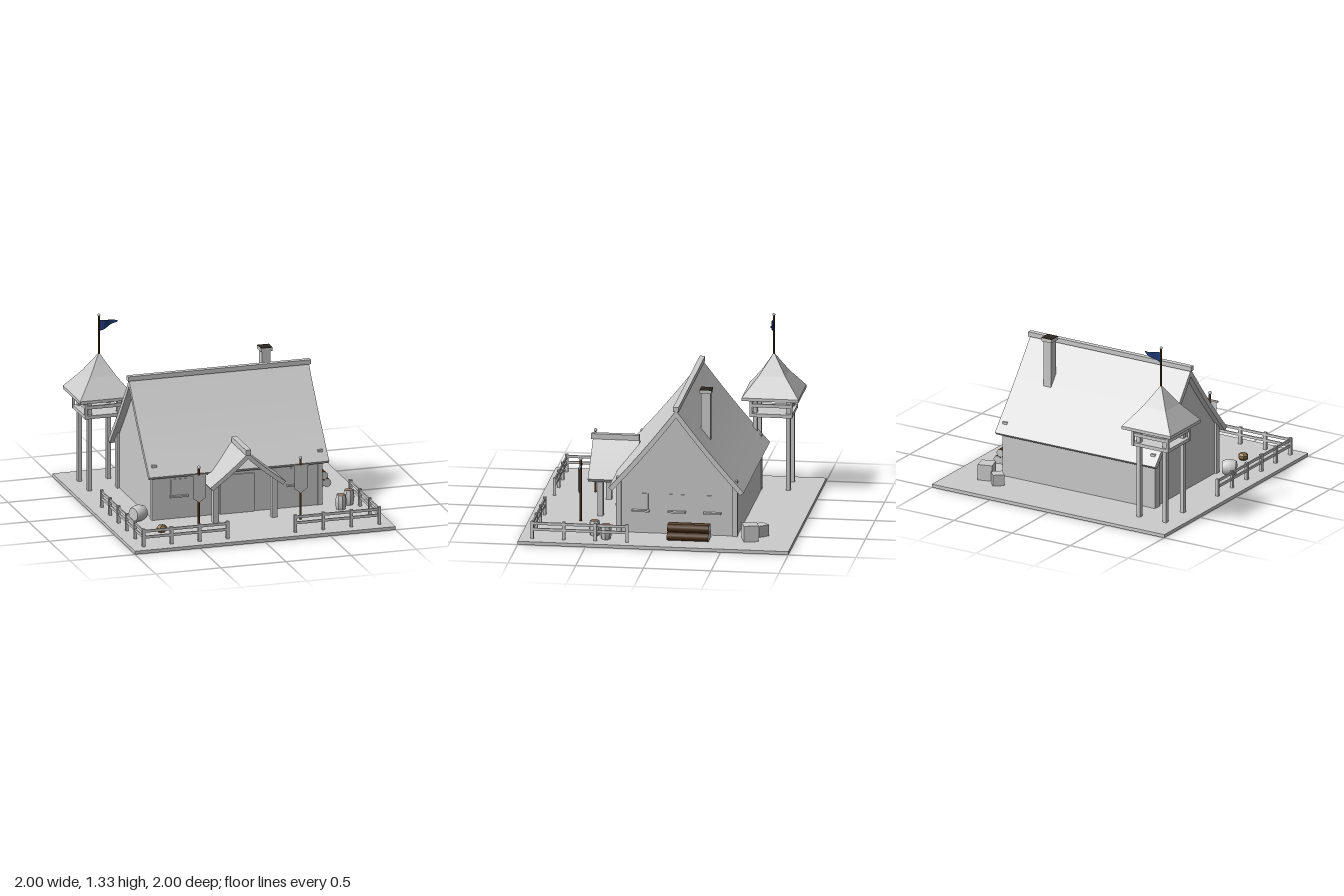
import * as THREE from 'three';
import { toCreasedNormals } from 'three/addons/utils/BufferGeometryUtils.js';

const mat = (color, extra = {}) => new THREE.MeshStandardMaterial({ color, ...extra });
const grey = mat(0xcccccc);
const greyFlat = mat(0xcccccc, { flatShading: true });
const greyThin = mat(0xcccccc, { side: THREE.DoubleSide });
const wood = mat(0x4a3018);
const dark = mat(0x2b2622);
const blue = mat(0x1f3a7a, { side: THREE.DoubleSide });
const tan = mat(0x8a6f45, { flatShading: true });
const pale = mat(0x9a8070);

const GROUND = 0.025;
const HOUSE_Z = -0.127;

export function createModel() {
  const root = new THREE.Group();
  root.name = 'longhouse';

  const add = (parent, name, geometry, material, x = 0, y = 0, z = 0) => {
    const m = new THREE.Mesh(geometry, material);
    m.name = name;
    m.position.set(x, y, z);
    parent.add(m);
    return m;
  };
  const group = (name, x = 0, y = 0, z = 0) => {
    const g = new THREE.Group();
    g.name = name;
    g.position.set(x, y, z);
    root.add(g);
    return g;
  };
  // box given by its lower and upper corners
  const box = (parent, name, x0, x1, y0, y1, z0, z1, material = grey) =>
    add(parent, name, new THREE.BoxGeometry(x1 - x0, y1 - y0, z1 - z0), material,
      (x0 + x1) / 2, (y0 + y1) / 2, (z0 + z1) / 2);

  // sagging two-sided roof slab, ridge along z and centred
  const roofGeometry = (span, top, eave, sag, thick, length) => {
    const n = 10, outer = [], inner = [];
    const slope = Math.atan2(top - eave, span);
    for (let i = 0; i <= n; i++) {
      const t = i / n;
      const y = top - (top - eave) * t - sag * Math.sin(Math.PI * t);
      outer.push([span * t, y]);
      const d = span * t - thick * Math.sin(slope);
      if (d > 0.01) inner.push([d, y - thick * Math.cos(slope)]);
    }
    inner.unshift([0, top - thick / Math.cos(slope)]);
    const flip = ([x, y]) => [-x, y];
    const loop = [
      ...outer.slice().reverse().map(flip), ...outer.slice(1),
      ...inner.slice().reverse(), ...inner.slice(1).map(flip),
    ];
    const shape = new THREE.Shape(loop.map(([x, y]) => new THREE.Vector2(x, y)));
    const g = new THREE.ExtrudeGeometry(shape, { depth: length, bevelEnabled: false });
    g.translate(0, 0, -length / 2);
    return toCreasedNormals(g, 0.5);
  };

  box(root, 'ground', -1, 1, 0, GROUND, -1, 1);

  // House walls with gables
  const house = group('house');
  const wallShape = new THREE.Shape([[-0.445, GROUND], [0.445, GROUND], [0.445, 0.37], [0, 0.925], [-0.445, 0.37]]
    .map(([x, y]) => new THREE.Vector2(x, y)));
  const walls = new THREE.ExtrudeGeometry(wallShape, { depth: 1.28, bevelEnabled: false });
  walls.translate(0, 0, -0.64).rotateY(Math.PI / 2);
  add(house, 'walls', walls, grey, 0, 0, HOUSE_Z);
  for (const x of [-0.637, 0.637])
    for (const z of [0.302, -0.556])
      box(house, 'cornerPost', x - 0.019, x + 0.019, GROUND, 0.445, z - 0.019, z + 0.019);
  const mainRoof = roofGeometry(0.5, 0.975, 0.37, 0.015, 0.035, 1.38).rotateY(Math.PI / 2);
  add(house, 'mainRoof', mainRoof, grey, 0, 0, HOUSE_Z);
  box(house, 'ridgeBeam', -0.7, 0.7, 0.968, 1.003, HOUSE_Z - 0.02, HOUSE_Z + 0.02);

  // Windows and door
  for (const x of [-0.45, 0.45]) {
    box(house, 'frontWindow', x - 0.06, x + 0.06, 0.2, 0.325, 0.31, 0.323);
    box(house, 'frontSill', x - 0.07, x + 0.07, 0.19, 0.202, 0.31, 0.345);
  }
  for (const z of [0.14, HOUSE_Z, -0.39]) {
    box(house, 'sideWindow', 0.63, 0.645, 0.2, 0.325, z - 0.055, z + 0.055);
    box(house, 'sideSill', 0.63, 0.675, 0.19, 0.202, z - 0.065, z + 0.065);
  }
  box(house, 'door', -0.13, 0.13, GROUND, 0.32, 0.31, 0.328);

  // Chimney
  const chimney = group('chimney', 0.412, 0, -0.312);
  box(chimney, 'stack', -0.033, 0.033, 0.62, 1.05, -0.035, 0.035);
  box(chimney, 'cap', -0.044, 0.044, 1.045, 1.07, -0.044, 0.044);
  box(chimney, 'flue', -0.044, 0.044, 1.07, 1.074, -0.044, 0.044, dark);

  // Porch
  const porch = group('porch');
  add(porch, 'porchRoof', roofGeometry(0.29, 0.555, 0.315, 0.008, 0.032, 0.345), grey, 0, 0, 0.41);
  box(porch, 'porchRidge', -0.02, 0.02, 0.545, 0.585, 0.24, 0.595);
  for (const x of [-0.224, 0.224])
    box(porch, 'porchPost', x - 0.021, x + 0.021, GROUND, 0.345, 0.475, 0.517);

  // Watchtower
  const tower = group('watchtower', -0.755, 0, -0.647);
  for (const x of [-0.112, 0.112])
    for (const z of [-0.122, 0.122])
      box(tower, 'towerPost', x - 0.016, x + 0.016, GROUND, 0.73, z - 0.016, z + 0.016);
  box(tower, 'deck', -0.155, 0.155, 0.58, 0.606, -0.155, 0.155);
  for (let i = 0; i < 4; i++) {
    const side = new THREE.Group();
    side.name = 'railing';
    side.rotation.y = i * Math.PI / 2;
    box(side, 'towerRail', -0.155, 0.155, 0.655, 0.68, 0.14, 0.155);
    box(side, 'towerBaluster', -0.157, -0.139, 0.58, 0.7, 0.139, 0.157);
    tower.add(side);
  }
  const q = Math.SQRT2;
  const towerProfile = [[0, 0.715], [0.21 * q, 0.715], [0.21 * q, 0.738], [0.1 * q, 0.877], [0.05 * q, 0.955], [0, 1.035]]
    .map(([r, y]) => new THREE.Vector2(r, y));
  add(tower, 'towerRoof', new THREE.LatheGeometry(towerProfile, 4, Math.PI / 4), greyFlat);
  add(tower, 'flagPole', new THREE.CylinderGeometry(0.007, 0.007, 0.3, 8), wood, 0, 1.17);
  add(tower, 'poleFinial', new THREE.SphereGeometry(0.011, 10, 8), grey, 0, 1.322);

  // Waving pennant
  const flag = new THREE.PlaneGeometry(0.14, 1, 12, 1);
  const fp = flag.attributes.position;
  for (let i = 0; i < fp.count; i++) {
    const t = fp.getX(i) / 0.14 + 0.5;
    const y = fp.getY(i) > 0 ? 1.285 - 0.014 * t : 1.2 + 0.06 * t;
    fp.setXYZ(i, 0.007 + 0.135 * t, y, 0.011 * Math.sin(t * 7));
  }
  flag.computeVertexNormals();
  add(tower, 'pennant', flag, blue);

  // Standing banners
  const cloth = new THREE.Shape([[-0.05, 0.44], [-0.05, 0.265], [0, 0.23], [0.05, 0.265], [0.05, 0.44]]
    .map(([x, y]) => new THREE.Vector2(x, y)));
  for (const x of [-0.39, 0.39]) {
    const banner = group('banner', x, 0, 0.62);
    add(banner, 'bannerPole', new THREE.CylinderGeometry(0.009, 0.009, 0.46, 8), wood, 0, 0.255);
    add(banner, 'bannerFinial', new THREE.SphereGeometry(0.013, 10, 8), grey, 0, 0.497);
    box(banner, 'crossbar', -0.068, 0.068, 0.434, 0.446, -0.006, 0.006);
    add(banner, 'cloth', new THREE.ShapeGeometry(cloth), greyThin, 0, 0, 0.011);
  }

  // Fences: each run has evenly spaced posts and two rails
  const fence = group('fence');
  const fenceRun = (x0, z0, x1, z1, bays) => {
    for (let i = 0; i <= bays; i++) {
      const x = x0 + (x1 - x0) * i / bays, z = z0 + (z1 - z0) * i / bays;
      box(fence, 'fencePost', x - 0.011, x + 0.011, GROUND, 0.158, z - 0.011, z + 0.011);
    }
    for (const y of [0.095, 0.14])
      box(fence, 'fenceRail', Math.min(x0, x1) - 0.005, Math.max(x0, x1) + 0.005, y - 0.01, y + 0.01,
        Math.min(z0, z1) - 0.005, Math.max(z0, z1) + 0.005);
  };
  fenceRun(-0.905, -0.105, -0.905, 0.905, 5);
  fenceRun(0.905, 0.205, 0.905, 0.905, 3);
  fenceRun(-0.905, 0.905, -0.26, 0.905, 3);
  fenceRun(0.26, 0.905, 0.905, 0.905, 3);

  // Log pile
  const logs = group('logPile', 0.768, 0, -0.233);
  const logGeometry = new THREE.CylinderGeometry(0.031, 0.031, 0.306, 12).rotateX(Math.PI / 2);
  for (const [x, y] of [[-0.05, 0.056], [0, 0.056], [0.05, 0.056], [-0.025, 0.112], [0.025, 0.112]])
    add(logs, 'log', logGeometry, [wood, grey, grey], x, y);

  // Barrels
  const barrel = (name, r, h, sides) => {
    const g = group(name);
    const profile = [[0, 0], [0.8 * r, 0], [0.95 * r, h * 0.25], [r, h * 0.5], [0.95 * r, h * 0.75], [0.8 * r, h], [0, h]]
      .map(([x, y]) => new THREE.Vector2(x, y - h / 2));
    add(g, 'barrelBody', toCreasedNormals(new THREE.LatheGeometry(profile, sides), 0.6), grey);
    return g;
  };
  for (const [x, z] of [[0.84, 0.37], [0.75, 0.465]]) {
    const b = barrel('standingBarrel', 0.043, 0.11, 8);
    b.position.set(x, GROUND + 0.055, z);
    add(b, 'barrelLid', new THREE.CylinderGeometry(0.031, 0.031, 0.004, 8), pale, 0, 0.055);
  }
  const lying = barrel('lyingBarrel', 0.062, 0.1, 14);
  lying.rotation.set(0, 0.43, -Math.PI / 2);
  lying.position.set(-0.755, GROUND + 0.062, 0.305);

  // Crates behind the house
  for (const [x, z, s, h, turn] of [[0.725, -0.68, 0.11, 0.12, 0.28], [0.593, -0.742, 0.085, 0.085, 0.72]])
    add(root, 'crate', new THREE.BoxGeometry(s, h, s), grey, x, GROUND + h / 2, z).rotation.y = turn;

  // Sack
  add(root, 'sack', new THREE.SphereGeometry(0.043, 6, 5).scale(1, 0.75, 0.9), tan, -0.675, GROUND + 0.031, 0.622);

  return root;
}
